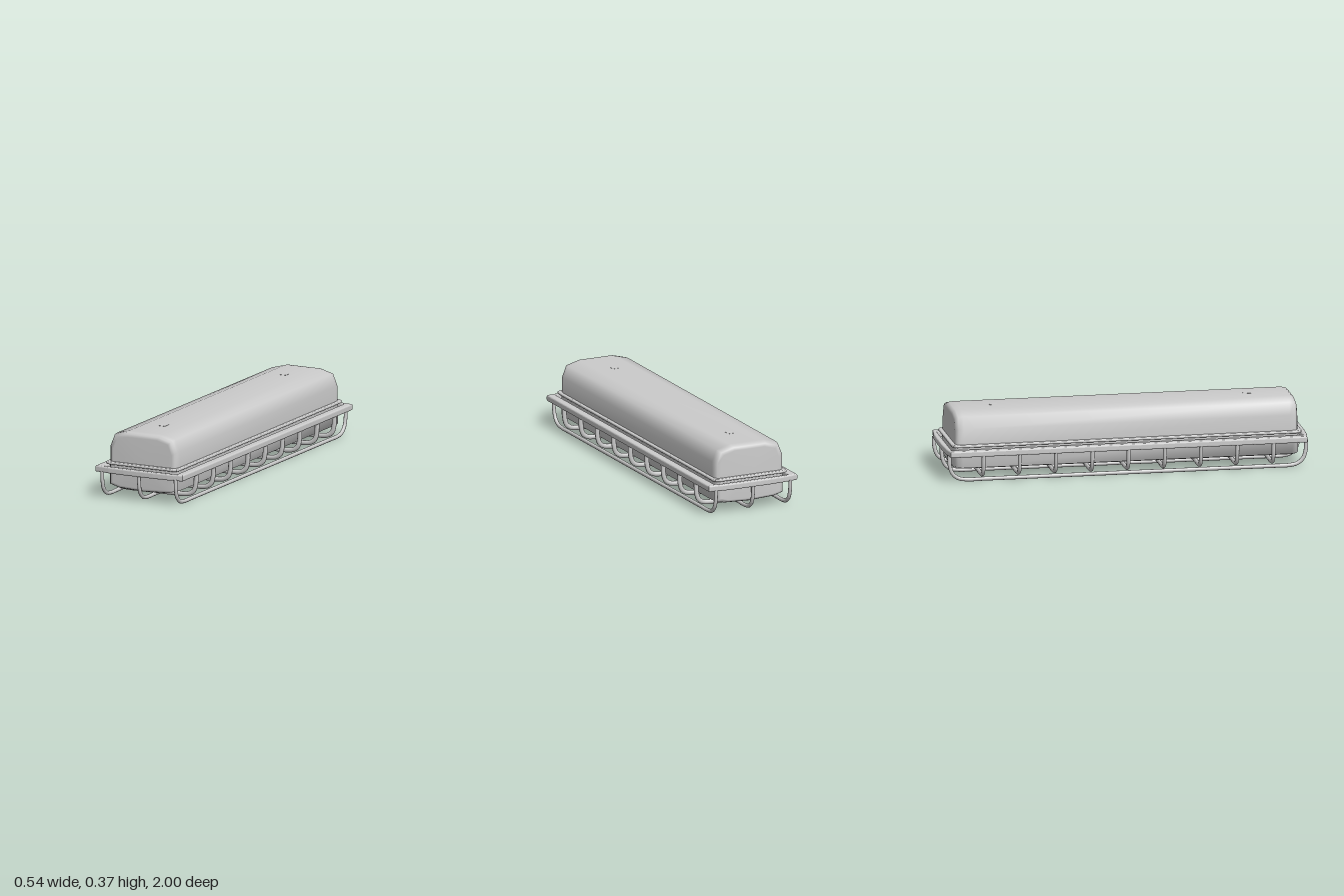
import * as THREE from 'three';

const material = new THREE.MeshStandardMaterial({ color: 0xcccccc, side: THREE.DoubleSide });

function add(parent, name, geometry) {
  const mesh = new THREE.Mesh(geometry, material);
  mesh.name = name;
  parent.add(mesh);
  return mesh;
}

// Trough-like shell: an open counter-clockwise profile swept along z, with softened closed ends
function shell(profile, baseY, halfLength) {
  const ends = [[0, 0.86], [0.005, 0.94], [0.018, 0.985], [0.045, 1]];
  const rows = [
    ...ends.map(([d, s]) => [d - halfLength, s]),
    ...ends.map(([d, s]) => [halfLength - d, s]).reverse(),
  ];
  const n = profile.length, pos = [], index = [];
  for (const [z, s] of rows)
    for (const [x, y] of profile) pos.push(x * s, baseY + (y - baseY) * s, z);
  for (let i = 0; i < rows.length - 1; i++)
    for (let j = 0; j < n - 1; j++) {
      const a = i * n + j, b = a + 1, c = a + n, d = c + 1;
      index.push(a, b, c, b, d, c);
    }
  // End caps as fans around a point on the base line
  const back = pos.length / 3, front = back + 1, last = (rows.length - 1) * n;
  pos.push(0, baseY, -halfLength, 0, baseY, halfLength);
  for (let j = 0; j < n - 1; j++) {
    index.push(back, j + 1, j);
    index.push(front, last + j, last + j + 1);
  }
  const g = new THREE.BufferGeometry();
  g.setAttribute('position', new THREE.Float32BufferAttribute(pos, 3));
  g.setIndex(index);
  g.computeVertexNormals();
  return g;
}

// Horizontal plate with bevelled rims, from an outline in x and z
function plate(outline, hole, y0, y1, bevel) {
  const toVec = ([x, y]) => new THREE.Vector2(x, y);
  const shape = new THREE.Shape(outline.map(toVec));
  if (hole) shape.holes.push(new THREE.Path(hole.map(toVec)));
  const g = new THREE.ExtrudeGeometry(shape, {
    depth: y1 - y0 - 2 * bevel, bevelSize: bevel, bevelThickness: bevel, bevelSegments: 3,
  });
  g.rotateX(-Math.PI / 2);
  g.translate(0, y0 + bevel, 0);
  return g;
}

// Mirror one corner's points into all four quadrants, counter-clockwise
function quadrants(points) {
  const rev = [...points].reverse();
  return [
    ...points,
    ...rev.map(([x, z]) => [-x, z]),
    ...points.map(([x, z]) => [-x, -z]),
    ...rev.map(([x, z]) => [x, -z]),
  ];
}

// U-shaped wire: half path of [across, height] points, mirrored
function wire(half, radius, segments) {
  const pts = [...half, ...[...half].reverse().map(([u, y]) => [-u, y])];
  const curve = new THREE.CatmullRomCurve3(pts.map(([u, y]) => new THREE.Vector3(u, y, 0)));
  curve.arcLengthDivisions = 600;
  return new THREE.TubeGeometry(curve, segments, radius, 10);
}

export function createModel() {
  const group = new THREE.Group();
  group.name = 'cagedLamp';

  // Upper housing
  const top = [[0.207, 0.18], [0.207, 0.285], [0.181, 0.35], [0.102, 0.371]];
  add(group, 'housing',
    shell([...top, ...[...top].reverse().map(([x, y]) => [-x, y])], 0.18, 0.945));

  // Small square plugs on the roof
  for (const z of [-0.7, 0.7])
    add(group, 'roofPlug', new THREE.BoxGeometry(0.04, 0.006, 0.046)).position.set(0, 0.369, z);

  // Lens under the housing
  const low = [[0.208, 0.185], [0.208, 0.07], [0.152, 0.054]];
  add(group, 'lens',
    shell([...low.map(([x, y]) => [-x, y]), [0, 0.047], ...[...low].reverse()], 0.185, 0.95));

  // Rim between housing and lens
  const rim = quadrants([[0.217, 0.935], [0.211, 0.953], [0.193, 0.96]]);
  add(group, 'rim', plate(rim, null, 0.185, 0.2, 0.006));

  // Flat cage frame with slightly bowed ends
  const outer = quadrants([[0.26, 0.977], [0.18, 0.988], [0.09, 0.992]]);
  const inner = quadrants([[0.23, 0.965], [0.222, 0.977]]).reverse();
  add(group, 'cageFrame', plate(outer, inner, 0.142, 0.177, 0.008));

  // Cross ribs
  const ribPath = [[0.254, 0.15], [0.25, 0.085], [0.238, 0.052], [0.213, 0.035], [0.17, 0.029], [0.08, 0.029]];
  const rib = wire(ribPath, 0.0135, 48);
  rib.scale(1, 1, 0.8);
  for (let i = -4; i <= 4; i++) add(group, 'crossRib', rib).position.z = i * 0.2;

  // Long bars running end to end
  const barPath = [[0.985, 0.15], [0.982, 0.09], [0.967, 0.047], [0.935, 0.02], [0.885, 0.011], [0.8, 0.011], [0.3, 0.011]];
  const bar = wire(barPath, 0.011, 140);
  bar.scale(1, 1, 0.9);
  bar.rotateY(Math.PI / 2);
  for (const x of [-0.225, 0, 0.225]) add(group, 'longBar', bar).position.x = x;

  return group;
}
